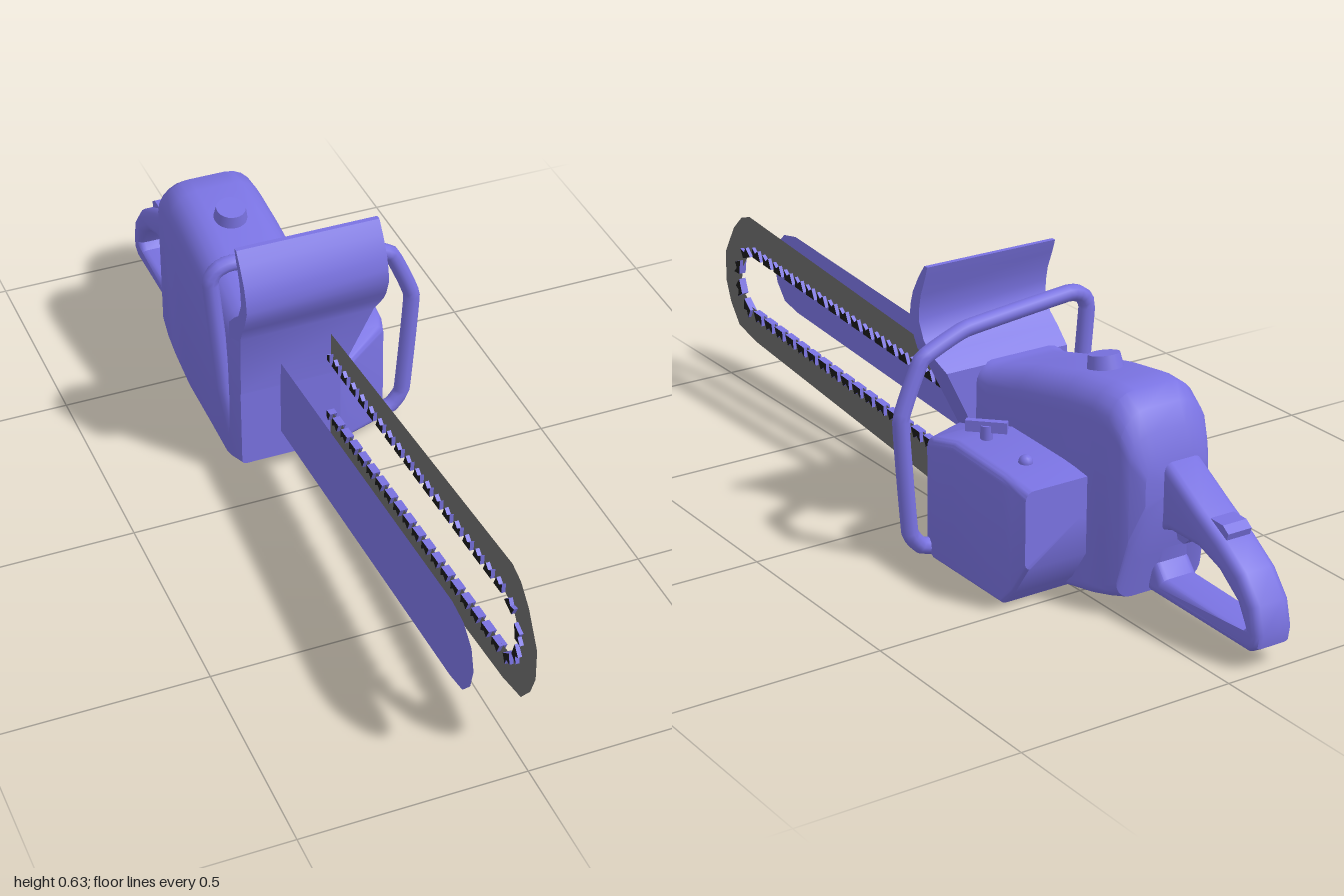
import * as THREE from 'three';
import { toCreasedNormals } from 'three/addons/utils/BufferGeometryUtils.js';

const mat = (name, color, side = THREE.FrontSide) => {
  const m = new THREE.MeshStandardMaterial({ color, side });
  m.name = name;
  return m;
};

// Closed skin through rings of points, with fan caps at both ends
function loft(rings, crease = 0.6) {
  const n = rings[0].length, pos = [], idx = [];
  rings.forEach(r => r.forEach(p => pos.push(p.x, p.y, p.z)));
  for (let i = 0; i < rings.length - 1; i++) {
    for (let j = 0; j < n; j++) {
      const a = i * n + j, b = i * n + (j + 1) % n;
      idx.push(a, b, a + n, b, b + n, a + n);
    }
  }
  [0, rings.length - 1].forEach((ri, end) => {
    const c = rings[ri].reduce((s, p) => s.add(p), new THREE.Vector3()).divideScalar(n);
    const ci = pos.length / 3;
    pos.push(c.x, c.y, c.z);
    for (let j = 0; j < n; j++) {
      const a = ri * n + j, b = ri * n + (j + 1) % n;
      if (end) idx.push(ci, a, b); else idx.push(ci, b, a);
    }
  });
  // Turn all faces outward
  let vol = 0;
  const P = i => new THREE.Vector3().fromArray(pos, i * 3);
  for (let i = 0; i < idx.length; i += 3) vol += P(idx[i]).dot(P(idx[i + 1]).cross(P(idx[i + 2])));
  if (vol < 0) idx.reverse();
  const g = new THREE.BufferGeometry();
  g.setAttribute('position', new THREE.Float32BufferAttribute(pos, 3));
  g.setIndex(idx);
  return toCreasedNormals(g, crease);
}

// Rounded rectangle standing across z
function section(z, yb, yt, xl, xr, rTop, rBot) {
  const pts = [];
  const corner = (cx, cy, r, a0) => {
    for (let k = 0; k <= 5; k++) {
      const a = a0 + k * Math.PI / 10;
      pts.push(new THREE.Vector3(cx + r * Math.cos(a), cy + r * Math.sin(a), z));
    }
  };
  corner(xr - rTop, yt - rTop, rTop, 0);
  corner(xl + rTop, yt - rTop, rTop, Math.PI / 2);
  corner(xl + rBot, yb + rBot, rBot, Math.PI);
  corner(xr - rBot, yb + rBot, rBot, Math.PI * 1.5);
  return pts;
}

const v2 = list => list.map(([u, y]) => new THREE.Vector2(u, y));
// Side profiles use u = -z; this turns them to face +x
const toSide = (g, x) => g.rotateY(Math.PI / 2).translate(x, 0, 0);

export function createModel() {
  const model = new THREE.Group();
  const blue = mat('violet blue', 0x7a73e2);
  const blueThin = mat('violet blue sheet', 0x7a73e2, THREE.DoubleSide);
  const grey = mat('chain grey', 0x6c6c6c, THREE.DoubleSide);
  const black = mat('tooth black', 0x1a1a1a);
  const add = (name, geo, material = blue) => {
    const m = new THREE.Mesh(geo, material);
    m.name = name;
    model.add(m);
    return m;
  };

  // Main hood: z, bottom, top, left x, right x, top radius, bottom radius
  add('engineHood', loft([
    [-0.085, 0.045, 0.41, -0.21, 0.03, 0.02, 0.01],
    [-0.16, 0.01, 0.405, -0.21, 0.03, 0.05, 0.01],
    [-0.19, 0, 0.41, -0.21, 0.028, 0.06, 0.01],
    [-0.29, 0, 0.437, -0.21, 0.025, 0.065, 0.015],
    [-0.45, 0, 0.472, -0.21, 0.022, 0.07, 0.02],
    [-0.55, 0.015, 0.485, -0.21, 0.02, 0.07, 0.03],
    [-0.605, 0.03, 0.483, -0.208, 0.018, 0.07, 0.03],
    [-0.645, 0.04, 0.455, -0.205, 0.015, 0.07, 0.04],
    [-0.668, 0.13, 0.41, -0.195, 0.005, 0.06, 0.05],
    [-0.69, 0.22, 0.35, -0.18, -0.02, 0.04, 0.04],
  ].map(s => section(...s))));

  // Wider housing on the left side
  add('sideHousing', loft([
    [-0.09, 0.045, 0.25, -0.1, 0.05, 0.015, 0.01],
    [-0.17, 0.005, 0.275, -0.1, 0.17, 0.02, 0.015],
    [-0.2, 0, 0.285, -0.1, 0.178, 0.02, 0.015],
    [-0.28, 0, 0.305, -0.1, 0.178, 0.02, 0.015],
    [-0.46, 0, 0.296, -0.1, 0.178, 0.02, 0.015],
    [-0.5, 0.04, 0.292, -0.1, 0.178, 0.02, 0.015],
    [-0.545, 0.11, 0.285, -0.1, 0.175, 0.02, 0.015],
  ].map(s => section(...s))));

  // Curved hand guard: y, front z, back z, right x
  add('handGuard', loft([
    [0.63, -0.088, -0.1, 0.123], [0.6, -0.066, -0.09, 0.123], [0.56, -0.043, -0.074, 0.123],
    [0.53, -0.034, -0.068, 0.123], [0.5, -0.03, -0.066, 0.123], [0.46, -0.045, -0.085, 0.123],
    [0.435, -0.06, -0.115, 0.123], [0.4, -0.076, -0.15, 0.106], [0.245, -0.083, -0.15, 0.03],
  ].map(([y, zf, zb, xr]) => [[-0.21, zf], [xr, zf], [xr, zb], [-0.21, zb]]
    .map(([x, z]) => new THREE.Vector3(x, y, z)))));

  // Wrap-around front handle
  const wrap = new THREE.CatmullRomCurve3([
    [-0.19, 0.06], [-0.215, 0.2], [-0.24, 0.495], [-0.225, 0.525], [-0.19, 0.535], [0.08, 0.508],
    [0.19, 0.462], [0.243, 0.335], [0.222, 0.07], [0.195, 0.032], [0.15, 0.02],
  ].map(([x, y]) => new THREE.Vector3(x, y, -0.18)), false, 'catmullrom', 0.12);
  add('frontHandle', new THREE.TubeGeometry(wrap, 90, 0.019, 10));

  // Rear handle loop
  const loop = new THREE.Shape(v2([[0.6, 0.04], [0.97, 0.035], [0.995, 0.05], [1, 0.08], [0.985, 0.14],
    [0.94, 0.195], [0.87, 0.242], [0.8, 0.28], [0.69, 0.345], [0.6, 0.36]]));
  loop.holes.push(new THREE.Path(v2([[0.665, 0.11], [0.68, 0.19], [0.71, 0.2], [0.8, 0.2], [0.87, 0.175],
    [0.93, 0.13], [0.955, 0.085], [0.94, 0.07], [0.69, 0.08]])));
  const loopGeo = new THREE.ExtrudeGeometry(loop, {
    depth: 0.06, bevelThickness: 0.018, bevelSize: 0.018, bevelOffset: -0.018, bevelSegments: 3 });
  add('rearHandle', toCreasedNormals(toSide(loopGeo, -0.145), 0.7));

  // Trigger and its lock
  const lever = (name, pts, w) => add(name, toSide(new THREE.ExtrudeGeometry(new THREE.Shape(v2(pts)),
    { depth: w, bevelEnabled: false }), -0.115 - w / 2));
  lever('trigger', [[0.69, 0.22], [0.705, 0.175], [0.725, 0.172], [0.745, 0.19], [0.77, 0.22]], 0.04);
  lever('triggerLock', [[0.79, 0.27], [0.86, 0.268], [0.878, 0.255], [0.87, 0.23], [0.8, 0.25]], 0.06);

  // Filler cap on the hood
  const cap = add('fillerCap', new THREE.CylinderGeometry(0.034, 0.04, 0.035, 24));
  cap.position.set(-0.097, 0.481, -0.44);
  cap.rotation.x = 0.2;

  // Turn lever and small button on the housing
  const stem = add('turnLeverStem', new THREE.CylinderGeometry(0.014, 0.014, 0.05, 12));
  stem.position.set(0.105, 0.31, -0.3);
  const bar = add('turnLever', new THREE.BoxGeometry(0.09, 0.025, 0.015));
  bar.position.set(0.105, 0.332, -0.3);
  bar.rotation.y = -Math.PI / 4;
  const button = add('button', new THREE.SphereGeometry(0.016, 14, 8));
  button.position.set(0.1, 0.298, -0.437);

  // Guide bar sheet
  const guide = new THREE.Shape(v2([[0.12, 0.11], [-0.86, 0.182], [-0.92, 0.195], [-0.955, 0.235],
    [-0.968, 0.285], [-0.955, 0.335], [-0.915, 0.37], [-0.86, 0.38], [0.12, 0.305]]));
  add('guideBar', toSide(new THREE.ShapeGeometry(guide), -0.115), blueThin);

  // Chain band around a long opening
  const opening = [[0.11, 0.283], [-0.85, 0.355], [-0.89, 0.342], [-0.915, 0.31], [-0.92, 0.28],
    [-0.905, 0.24], [-0.875, 0.217], [-0.84, 0.213], [0.11, 0.138]];
  const band = new THREE.Shape(v2([[0.12, 0.03], [-0.855, 0.13], [-0.94, 0.15], [-0.98, 0.2], [-1, 0.25],
    [-1, 0.325], [-0.955, 0.4], [-0.915, 0.437], [-0.875, 0.45], [0.12, 0.353]]));
  band.holes.push(new THREE.Path(v2(opening)));
  add('chainBand', toSide(new THREE.ShapeGeometry(band), 0.005), grey);

  // Saw teeth along the rim of the opening
  const rim = new THREE.CurvePath();
  const rimPts = v2(opening);
  for (let i = 0; i < rimPts.length - 1; i++) rim.add(new THREE.LineCurve(rimPts[i], rimPts[i + 1]));
  const teeth = [];
  const count = 42;
  for (let i = 0; i < count; i++) {
    const t = (i + 0.5) / count, p = rim.getPoint(t), d = rim.getTangent(t);
    const out = new THREE.Vector2(d.y, -d.x);
    const at = (a, b) => p.clone().addScaledVector(d, a).addScaledVector(out, b);
    teeth.push(new THREE.Shape([at(-0.02, 0), at(0.017, 0), at(0.021, 0.024), at(0.006, 0.014), at(-0.006, 0.024)]));
  }
  add('chainTeeth', toSide(new THREE.ExtrudeGeometry(teeth, { depth: 0.018, bevelEnabled: false }), -0.004),
    [black, blue]);

  return model;
}
